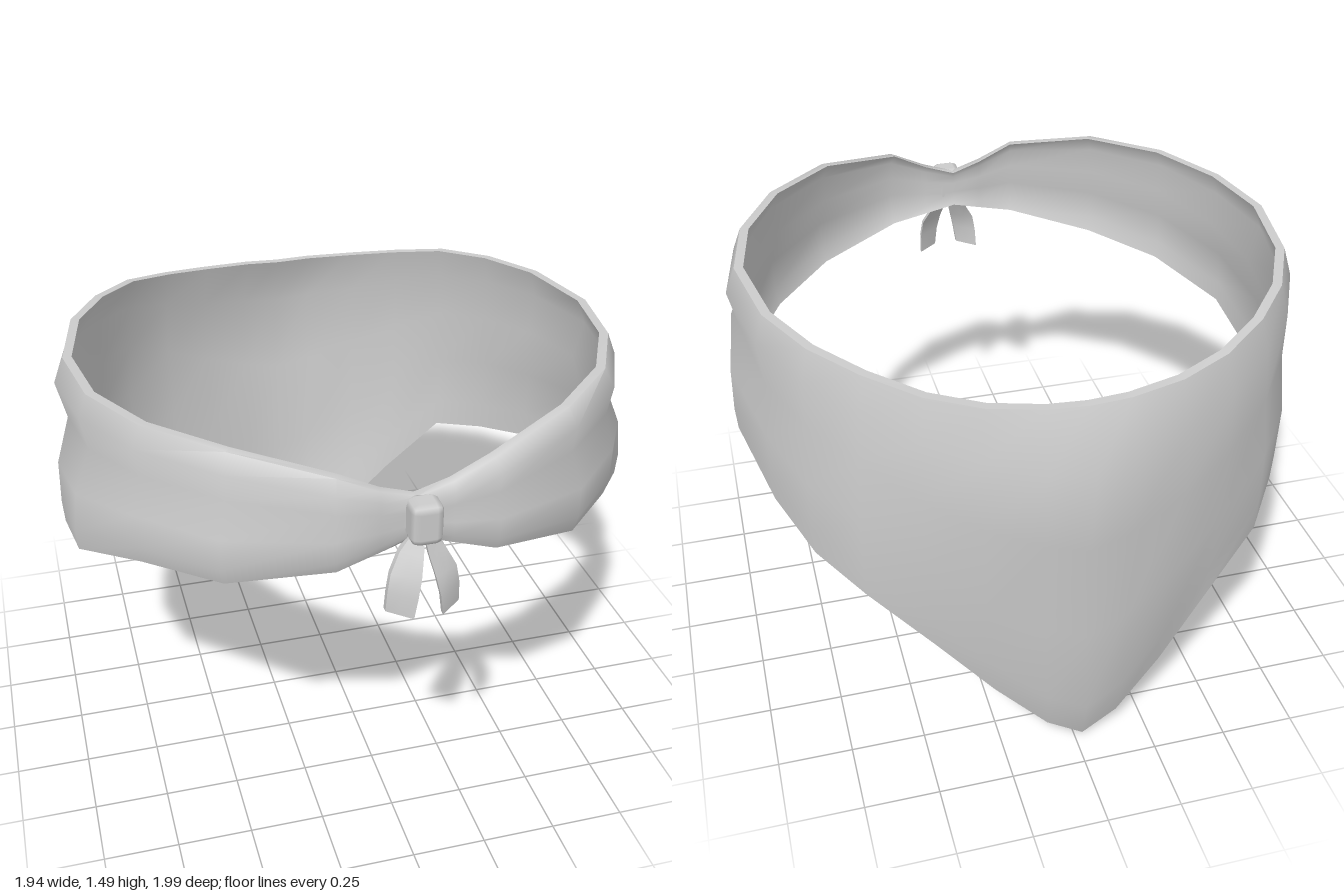
import * as THREE from 'three';
import { toCreasedNormals } from 'three/addons/utils/BufferGeometryUtils.js';
import { RoundedBoxGeometry } from 'three/addons/geometries/RoundedBoxGeometry.js';

const material = new THREE.MeshStandardMaterial({ color: 0xcccccc });
const THICKNESS = 0.03;

// Heights down the cloth, as fractions from top edge to bottom edge
const LEVELS = [0, 0.14, 0.35, 0.62, 0.87, 1];

// Half of the cloth, knot (0 deg) to back (180 deg): angle, top y, bottom y, radius at each level
const COLUMNS = [
  [0, 1.335, 1.20, 0.89, 0.90, 0.90, 0.90, 0.90, 0.89],
  [7, 1.37, 1.17, 0.90, 0.92, 0.915, 0.925, 0.92, 0.91],
  [15, 1.43, 1.135, 0.92, 0.955, 0.95, 0.97, 0.965, 0.95],
  [35, 1.48, 1.065, 0.91, 0.945, 0.935, 0.98, 0.98, 0.965],
  [54, 1.485, 1.03, 0.91, 0.945, 0.93, 0.965, 0.965, 0.95],
  [72, 1.48, 0.945, 0.91, 0.94, 0.92, 0.98, 0.995, 0.99],
  [90, 1.48, 0.87, 0.91, 0.945, 0.915, 0.965, 0.97, 0.965],
  [110, 1.475, 0.785, 0.91, 0.94, 0.925, 0.945, 0.945, 0.94],
  [125, 1.465, 0.72, 0.915, 0.945, 0.945, 0.97, 0.965, 0.96],
  [138, 1.45, 0.665, 0.92, 0.95, 0.965, 0.985, 0.985, 0.98],
  [150, 1.42, 0.45, 0.92, 0.955, 0.965, 0.955, 0.93, 0.915],
  [161, 1.40, 0.25, 0.915, 0.96, 0.965, 0.945, 0.915, 0.885],
  [172, 1.39, 0.08, 0.91, 0.985, 0.965, 0.945, 0.925, 0.88],
  [180, 1.385, 0.0, 0.905, 0.99, 0.97, 0.95, 0.93, 0.875],
];

function makeCloth() {
  // Mirror the half to go all the way round
  const mirrored = COLUMNS.slice(1, -1).reverse().map(([a, ...rest]) => [360 - a, ...rest]);
  const columns = [...COLUMNS, ...mirrored];
  const positions = [];
  const index = [];
  const rows = LEVELS.length * 2;
  columns.forEach(([deg, top, bottom, ...radii], i) => {
    const a = THREE.MathUtils.degToRad(deg);
    for (let j = 0; j < rows; j++) {
      // Down the outside, then back up the inside
      const outside = j < LEVELS.length;
      const k = outside ? j : rows - 1 - j;
      const r = radii[k] - (outside ? 0 : THICKNESS);
      const y = top + (bottom - top) * LEVELS[k];
      const lean = 0.03 * Math.max(0, 0.7 - y) / 0.7; // the tip hangs slightly off centre
      positions.push(r * Math.sin(a) - lean, y, r * Math.cos(a));
      const p = i * rows, q = ((i + 1) % columns.length) * rows, n = (j + 1) % rows;
      index.push(p + j, p + n, q + j, q + j, p + n, q + n);
    }
  });
  const geometry = new THREE.BufferGeometry();
  geometry.setAttribute('position', new THREE.Float32BufferAttribute(positions, 3));
  geometry.setIndex(index);
  return toCreasedNormals(geometry, Math.PI / 3);
}

// Tail rows from tip to knot: y, inner x, outer x, inner z, outer z
const TAIL = [
  [0.98, 0.045, 0.115, 0.985, 0.925],
  [1.05, 0.035, 0.112, 0.988, 0.93],
  [1.11, 0.022, 0.102, 0.975, 0.925],
  [1.17, 0.008, 0.07, 0.945, 0.905],
  [1.225, 0.0, 0.03, 0.92, 0.90],
];

function makeTail(side) {
  // Bend a thin box through the rows
  const geometry = new THREE.BoxGeometry(2, TAIL.length - 1, 1, 2, TAIL.length - 1, 1);
  const pos = geometry.attributes.position;
  for (let i = 0; i < pos.count; i++) {
    const row = TAIL[Math.round(pos.getY(i) + (TAIL.length - 1) / 2)];
    const t = (pos.getX(i) * side + 1) / 2;
    const x = THREE.MathUtils.lerp(row[1], row[2], t);
    const z = THREE.MathUtils.lerp(row[3], row[4], t) + pos.getZ(i) * 0.02;
    pos.setXYZ(i, x * side, row[0], z);
  }
  return toCreasedNormals(geometry, Math.PI / 4);
}

export function createModel() {
  const group = new THREE.Group();
  const add = (name, geometry, x = 0, y = 0, z = 0) => {
    const mesh = new THREE.Mesh(geometry, material);
    mesh.name = name;
    mesh.position.set(x, y, z);
    group.add(mesh);
  };

  // Headscarf band with the pointed flap at the back
  add('scarfCloth', makeCloth());

  // Knot and its two hanging ends
  add('knot', new RoundedBoxGeometry(0.1, 0.135, 0.095, 1, 0.025), 0.015, 1.275, 0.922);
  add('leftTail', makeTail(1), 0.015);
  add('rightTail', makeTail(-1), 0.015);
  return group;
}
